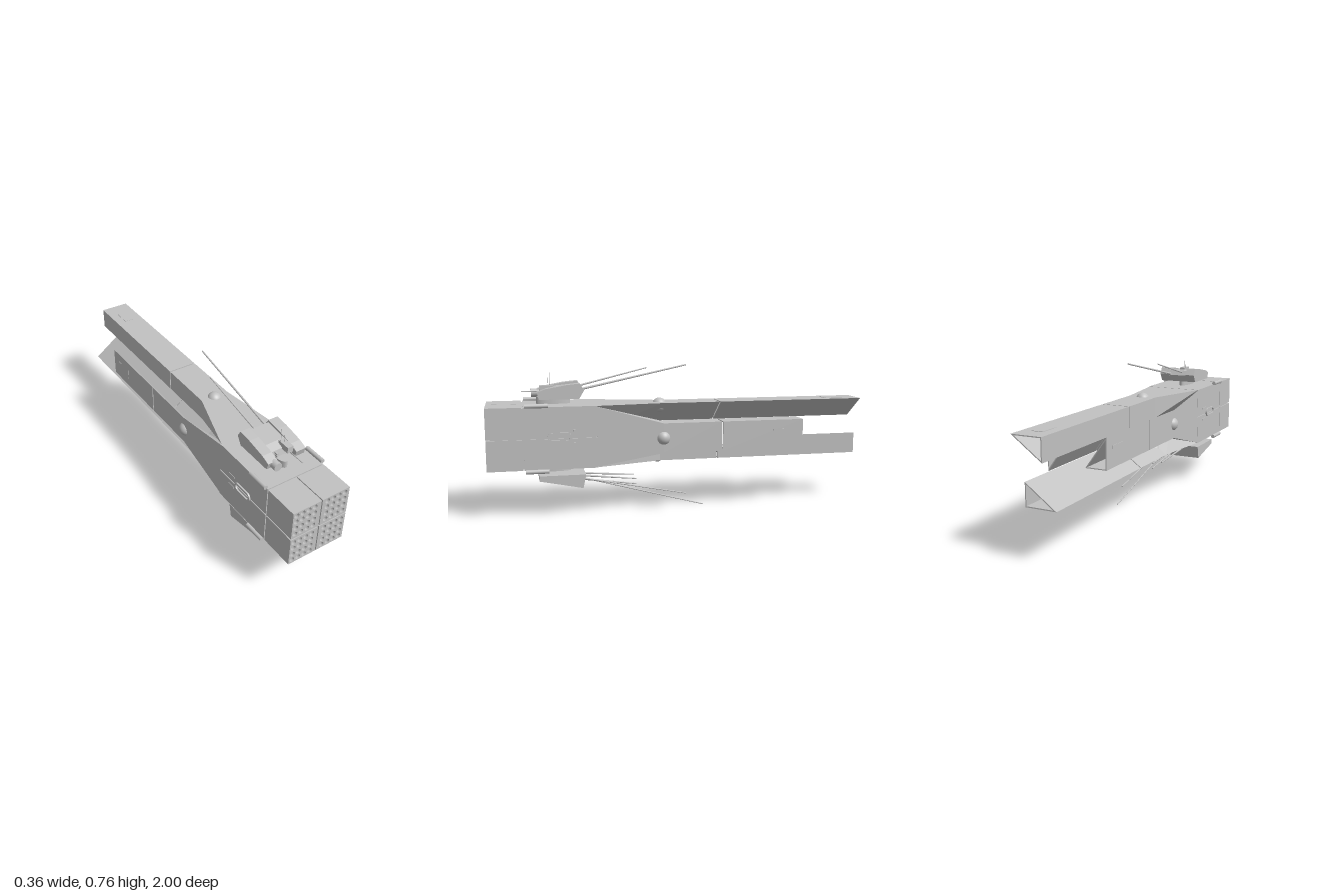
import * as THREE from 'three';

const grey = new THREE.MeshStandardMaterial({ color: 0xc2c2c2 });
grey.name = 'hull grey';
const CX = -0.005, CY = 0.403, H = 0.158;   // hull axis and half width

function add(parent, name, geometry, x = 0, y = 0, z = 0) {
  const m = new THREE.Mesh(geometry, grey);
  m.name = name;
  m.position.set(x, y, z);
  parent.add(m);
  return m;
}
// Box given by its limits
function box(parent, name, x0, x1, y0, y1, z0, z1) {
  return add(parent, name, new THREE.BoxGeometry(x1 - x0, y1 - y0, z1 - z0),
    (x0 + x1) / 2, (y0 + y1) / 2, (z0 + z1) / 2);
}
// Cylinder between two points
function rod(parent, name, a, b, r0, r1 = r0, sides = 10) {
  const p = new THREE.Vector3(...a), q = new THREE.Vector3(...b);
  const d = q.clone().sub(p);
  const m = add(parent, name, new THREE.CylinderGeometry(r1, r0, d.length(), sides));
  m.position.copy(p).add(q).multiplyScalar(0.5);
  m.quaternion.setFromUnitVectors(new THREE.Vector3(0, 1, 0), d.normalize());
  return m;
}
// Side profile of (z, y) points extruded across x
function slab(parent, name, x0, x1, pts) {
  const shape = new THREE.Shape(pts.map(p => new THREE.Vector2(...p)));
  const g = new THREE.ExtrudeGeometry(shape, { depth: x1 - x0, bevelEnabled: false });
  g.rotateY(-Math.PI / 2);
  return add(parent, name, g, x1);
}
// Closed loft of triangular sections running from front to rear
function loft(sections) {
  const v = [], put = (...ps) => ps.forEach(p => v.push(...p));
  for (let s = 0; s < sections.length - 1; s++) {
    const P = sections[s], Q = sections[s + 1];
    for (let i = 0; i < 3; i++) {
      const j = (i + 1) % 3;
      put(P[i], Q[i], Q[j], P[i], Q[j], P[j]);
    }
  }
  const F = sections[0], R = sections[sections.length - 1];
  put(F[0], F[1], F[2], R[0], R[2], R[1]);
  const g = new THREE.BufferGeometry();
  g.setAttribute('position', new THREE.Float32BufferAttribute(v, 3));
  g.computeVertexNormals();
  return g;
}

// One launcher pod with a 4 x 4 field of open tubes
function pod(parent, x0, x1, y0, y1, cols, rows) {
  const s = new THREE.Shape([[x0, y0], [x1, y0], [x1, y1], [x0, y1]].map(p => new THREE.Vector2(...p)));
  for (const x of cols) for (const y of rows) {
    const hole = new THREE.Path();
    hole.absarc(x, y, 0.013, 0, Math.PI * 2, true);
    s.holes.push(hole);
  }
  const g = new THREE.ExtrudeGeometry(s, { depth: 0.015, bevelEnabled: false, curveSegments: 10 });
  add(parent, 'podTubeFace', g, 0, 0, 0.985);
  box(parent, 'podBody', x0, x1, y0, y1, 0.823, 0.985);
}

// Triangular arm on the top side; the others are turned copies
function arm(parent, name, turn, a, end) {
  const arm = new THREE.Group();
  arm.name = name;
  arm.position.set(CX, CY, 0);
  arm.rotation.z = -turn * Math.PI / 2;
  parent.add(arm);
  const L = 0.155, d = 0.112, b = a + L, h = H - 0.001;
  const tri = z => [[a, h, z], [a, h - d, z], [b, h, z]];
  add(arm, 'flaredStrut', loft([
    [[-0.154, h, 0.452], [0, 0, 0.452], [0.154, h, 0.452]], tri(0.11), tri(-0.2)]));

  // hollow rear beam, its cavity inset evenly from the walls
  const r = (L + d - Math.hypot(L, d)) / 2, k = 1 - 0.005 / r;
  const pts = [[a, h], [a, h - d], [b, h]];
  const shape = new THREE.Shape(pts.map(p => new THREE.Vector2(...p)));
  shape.holes.push(new THREE.Path(pts.map(([x, y]) => new THREE.Vector2(
    a + r + (x - a - r) * k, h - r + (y - h + r) * k)).reverse()));
  add(arm, 'hollowBeam', new THREE.ExtrudeGeometry(shape,
    { depth: -0.207 - end, bevelEnabled: false }), 0, 0, end);

  const pz = end < -0.9 ? -0.86 : -0.54, mid = (a + b) / 2;
  box(arm, 'accessPanel', mid - 0.028, mid + 0.028, h - 0.001, h + 0.002, pz - 0.055, pz + 0.055);
  add(arm, 'dome', new THREE.SphereGeometry(0.038, 24, 16), mid, H - 0.018, 0.11);
}

// Capsule-shaped side handle as a ring, lying in the z-y plane
function handle(parent, side) {
  const capsule = (C, r, l) => {
    const s = new C();
    s.absarc(l, 0, r, -Math.PI / 2, Math.PI / 2, false);
    s.absarc(-l, 0, r, Math.PI / 2, Math.PI * 1.5, false);
    s.closePath();
    return s;
  };
  const s = capsule(THREE.Shape, 0.024, 0.036);
  s.holes.push(capsule(THREE.Path, 0.015, 0.036));
  const g = new THREE.ExtrudeGeometry(s, { depth: 0.012, bevelEnabled: false, curveSegments: 8 });
  g.rotateY(Math.PI / 2);
  add(parent, 'sideHandle', g, CX + side * (H + 0.002) - 0.006, CY + 0.004, 0.64);
  for (const dy of [0.036, -0.03]) {
    const x = CX + side * H;
    box(parent, 'sideSlot', x - 0.003, x + 0.003, CY + dy - 0.005, CY + dy + 0.005, 0.525, 0.57);
  }
}

function upperTurret(parent) {
  const t = new THREE.Group();
  t.name = 'upperTurret';
  parent.add(t);
  add(t, 'pedestal', new THREE.CylinderGeometry(0.03, 0.03, 0.045, 24), CX, 0.575, 0.66).scale.z = 2.9;
  slab(t, 'turretHull', -0.06, 0.052,
    [[0.535, 0.592], [0.7, 0.592], [0.69, 0.632], [0.65, 0.648], [0.53, 0.657], [0.515, 0.63]]);
  for (const [x0, x1] of [[-0.11, -0.058], [0.05, 0.104]])
    slab(t, 'turretShoulder', x0, x1,
      [[0.535, 0.592], [0.735, 0.592], [0.745, 0.628], [0.7, 0.645], [0.6, 0.663], [0.53, 0.67], [0.51, 0.635]]);
  // sensors and small gun on the front
  rod(t, 'searchLens', [-0.072, 0.611, 0.7], [-0.072, 0.611, 0.77], 0.022, 0.022, 20);
  box(t, 'gunBox', 0.01, 0.042, 0.625, 0.657, 0.66, 0.73);
  rod(t, 'smallGun', [0.026, 0.628, 0.72], [0.026, 0.628, 0.82], 0.0025);
  for (const y of [0.602, 0.613, 0.624])
    box(t, 'sensorBlock', -0.034, -0.026, y - 0.004, y + 0.004, 0.69, 0.71);
  rod(t, 'tallAntenna', [0.012, 0.64, 0.675], [0.012, 0.73, 0.675], 0.001);
  rod(t, 'shortAntenna', [0.024, 0.65, 0.685], [0.024, 0.697, 0.685], 0.001);
  // rearward barrels
  rod(t, 'longBarrel', [0.043, 0.632, 0.54], [0.044, 0.753, -0.03], 0.006, 0.004);
  rod(t, 'shortBarrel', [-0.026, 0.645, 0.54], [-0.038, 0.735, 0.165], 0.005, 0.003);
}

function lowerTurret(parent) {
  const t = new THREE.Group();
  t.name = 'lowerTurret';
  parent.add(t);
  add(t, 'pedestal', new THREE.CylinderGeometry(0.027, 0.027, 0.05, 24), CX, 0.224, 0.66).scale.z = 3.1;
  slab(t, 'turretHull', -0.143, 0.132,
    [[0.525, 0.137], [0.66, 0.165], [0.745, 0.182], [0.745, 0.208], [0.51, 0.208]]);
  // rearward barrels
  const tips = [[0.066, 0.002, -0.12], [0.09, 0.073, -0.02], [0.025, 0.15, 0.235], [-0.03, 0.162, 0.24], [0.025, 0.122, 0.235]];
  tips.forEach((tip, i) => rod(t, 'barrel', [tip[0], i === 4 ? 0.165 : 0.183, 0.54], tip, i < 2 ? 0.004 : 0.006, 0.003));
}

export function createModel() {
  const model = new THREE.Group();
  model.name = 'launcherShip';
  const g = 0.003;   // half seam width

  // launcher pods
  const xs = [[CX - H, CX - g, [-0.143, -0.11, -0.076, -0.042]], [CX + g, CX + H, [0.028, 0.062, 0.095, 0.128]]];
  const ys = [[CY - H, CY - g, [0.265, 0.3, 0.34, 0.376]], [CY + g, CY + H, [0.43, 0.467, 0.505, 0.541]]];
  for (const [x0, x1, cols] of xs) for (const [y0, y1, rows] of ys) pod(model, x0, x1, y0, y1, cols, rows);

  // main body halves around an inner core
  for (const [y0, y1] of ys) box(model, 'bodyHalf', CX - H, CX + H, y0, y1, 0.45, 0.817);
  box(model, 'innerCore', CX - H + 0.006, CX + H - 0.006, CY - H + 0.006, CY + H - 0.006, 0.455, 0.98);

  // corner rods and side fittings
  for (const side of [-1, 1]) {
    for (const up of [-1, 1]) {
      const x = CX + side * (H + 0.005), y = CY + up * (H + 0.007);
      rod(model, 'cornerRod', [x, y, 0.695], [x, y, 0.81], 0.011, 0.011, 14);
    }
    handle(model, side);
  }

  // four arms in a pinwheel
  arm(model, 'topArm', 0, -0.045, -1);
  arm(model, 'leftArm', 1, -0.058, -0.65);
  arm(model, 'bottomArm', 2, -0.045, -1);
  arm(model, 'rightArm', 3, -0.058, -0.65);

  upperTurret(model);
  lowerTurret(model);
  return model;
}
